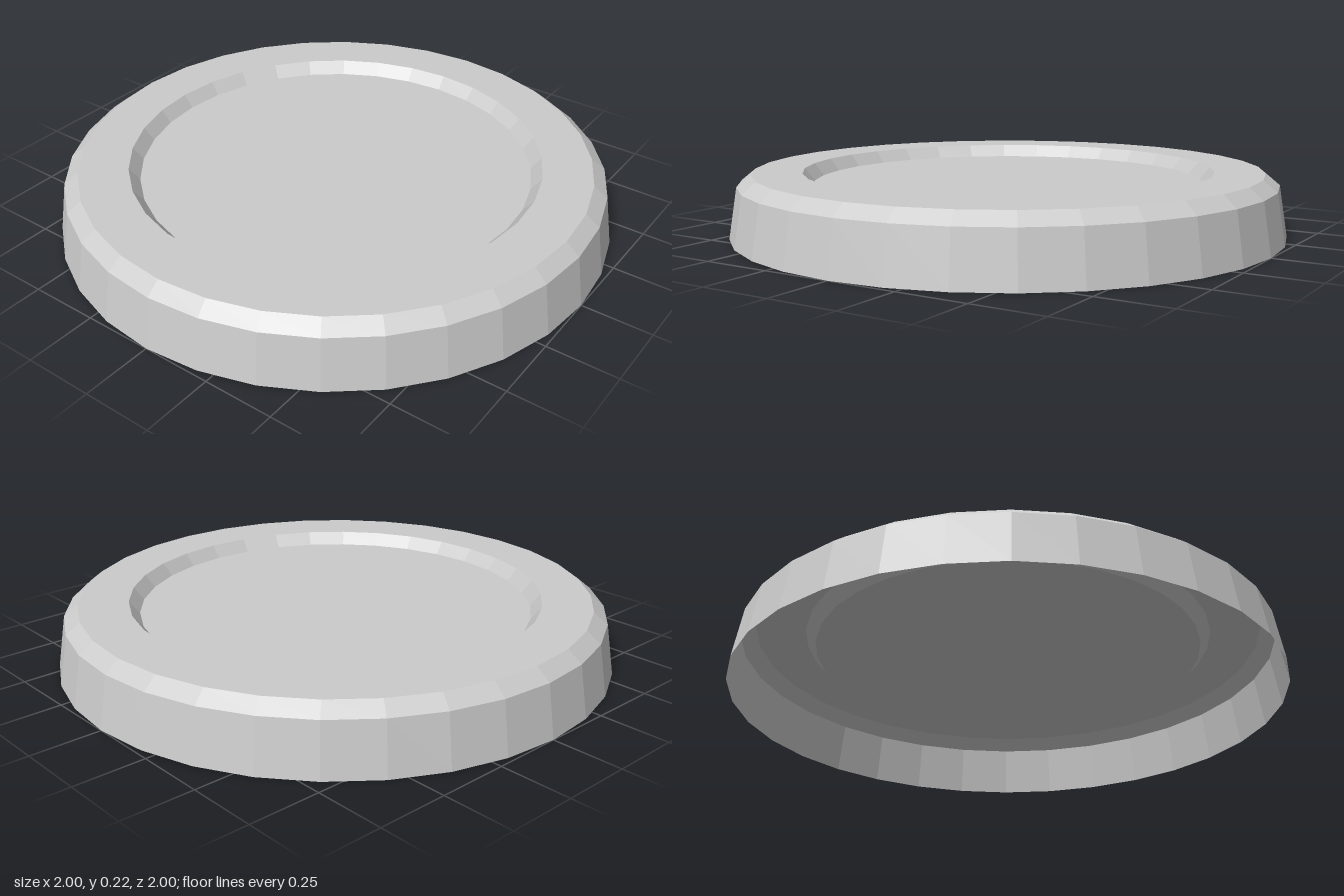
import * as THREE from 'three';

const SIDES = 32;

export function createModel() {
  const model = new THREE.Group();
  model.name = 'roundLid';

  // Thin open shell, seen from inside and outside
  const material = new THREE.MeshStandardMaterial({
    color: 0xcccccc,
    flatShading: true,
    side: THREE.DoubleSide,
  });

  // Flared wall, bevelled shoulder, flat rim and sloping step into the recess
  const floorRadius = 0.705;
  const floorHeight = 0.18;
  const profile = [
    [1, 0],
    [0.97, 0.183],
    [0.92, 0.224],
    [0.742, 0.224],
    [floorRadius, floorHeight],
  ].map(([r, y]) => new THREE.Vector2(r, y));
  const shell = new THREE.Mesh(new THREE.LatheGeometry(profile, SIDES), material);
  shell.name = 'wallAndRim';
  model.add(shell);

  // Recessed floor closing the top; the underside stays hollow
  const floor = new THREE.Mesh(
    new THREE.CircleGeometry(floorRadius, SIDES).rotateX(-Math.PI / 2),
    material,
  );
  floor.position.y = floorHeight;
  floor.name = 'recessedFloor';
  model.add(floor);

  return model;
}
